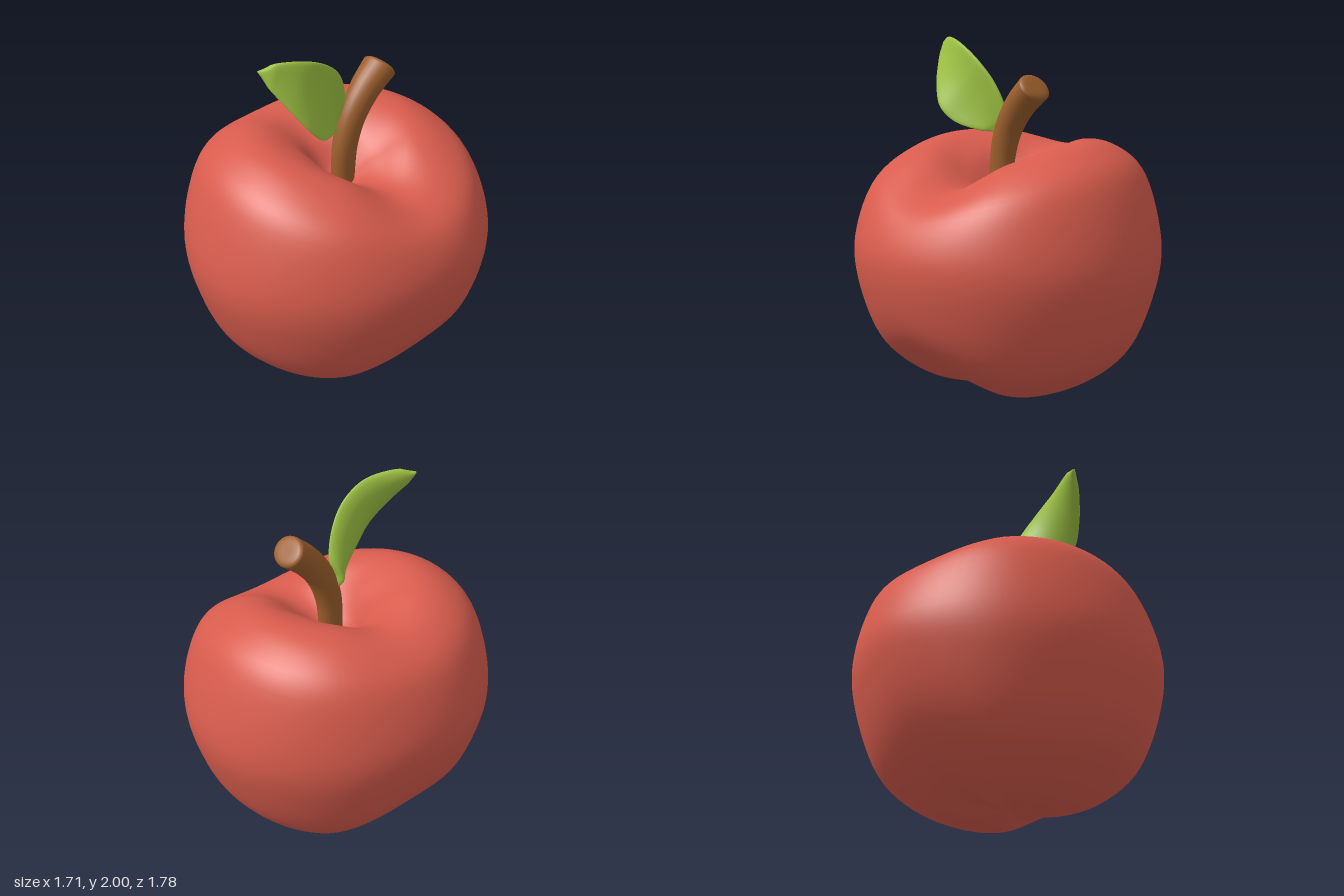
import * as THREE from 'three';
import { mergeVertices } from 'three/addons/utils/BufferGeometryUtils.js';

// Skin a surface point(u, v): u runs along 0..1, v is an angle that closes on itself
function loft(rows, cols, point) {
  const pos = [], idx = [];
  for (let i = 0; i <= rows; i++) {
    for (let j = 0; j < cols; j++) pos.push(...point(i / rows, (j / cols) * Math.PI * 2).toArray());
  }
  for (let i = 0; i < rows; i++) {
    for (let j = 0; j < cols; j++) {
      const k = (j + 1) % cols;
      const a = i * cols + j, b = i * cols + k, c = a + cols, d = b + cols;
      idx.push(a, b, c, b, d, c);
    }
  }
  let g = new THREE.BufferGeometry();
  g.setAttribute('position', new THREE.Float32BufferAttribute(pos, 3));
  g.setIndex(idx);
  g = mergeVertices(g, 1e-5);
  g.computeVertexNormals();
  return g;
}

const curve = (pts) => new THREE.CatmullRomCurve3(pts.map((p) => new THREE.Vector3(...p)));
const profile = (pts) => new THREE.SplineCurve(pts.map((p) => new THREE.Vector2(...p)));

// Fruit profiles (radius, height) from the top hollow to the base, every 45 degrees from +x to -x
const fruitProfiles = [
  [[0, 1.12], [0.1, 1.13], [0.25, 1.18], [0.42, 1.195], [0.6, 1.16], [0.76, 1.06], [0.85, 0.86], [0.82, 0.62], [0.72, 0.4], [0.5, 0.2], [0.25, 0.08], [0, 0.06]],
  [[0, 1.12], [0.09, 1.15], [0.23, 1.26], [0.42, 1.35], [0.62, 1.3], [0.78, 1.16], [0.87, 0.86], [0.83, 0.56], [0.7, 0.27], [0.47, 0.09], [0.22, 0.025], [0, 0.06]],
  [[0, 1.12], [0.09, 1.17], [0.22, 1.34], [0.42, 1.435], [0.6, 1.4], [0.77, 1.24], [0.89, 0.84], [0.84, 0.53], [0.71, 0.27], [0.47, 0.08], [0.22, 0.005], [0, 0.06]],
  [[0, 1.12], [0.09, 1.17], [0.22, 1.34], [0.42, 1.44], [0.62, 1.4], [0.78, 1.24], [0.87, 0.88], [0.83, 0.58], [0.7, 0.27], [0.47, 0.075], [0.22, 0.01], [0, 0.06]],
  [[0, 1.12], [0.08, 1.16], [0.2, 1.28], [0.38, 1.37], [0.56, 1.36], [0.74, 1.23], [0.855, 0.92], [0.82, 0.66], [0.71, 0.41], [0.5, 0.18], [0.25, 0.07], [0, 0.06]],
].map(profile);

// Smooth blend between neighbouring profiles, mirrored across z = 0
function fruitPoint(u, v) {
  const s = v / (Math.PI / 4), i = Math.floor(s), t = s - i;
  const at = (n) => {
    const m = ((n % 8) + 8) % 8;
    return fruitProfiles[m > 4 ? 8 - m : m].getPoint(u);
  };
  const blend = new THREE.SplineCurve([at(i - 1), at(i), at(i + 1), at(i + 2)]);
  const p = blend.getPoint((1 + t) / 3);
  return new THREE.Vector3(Math.max(0, p.x) * Math.cos(v), p.y, Math.max(0, p.x) * Math.sin(v));
}

// Curved stem, widening to a rounded flat end
const stemPath = curve([[0.045, 1.05, 0], [0.047, 1.2, -0.002], [0.05, 1.36, -0.015], [0.055, 1.52, -0.07], [0.062, 1.65, -0.165], [0.07, 1.75, -0.28]]);
function stemPoint(u, v) {
  const t = Math.min(1, u / 0.85);
  const cap = Math.max(0, (u - 0.85) / 0.15);
  const c = stemPath.getPoint(t), d = stemPath.getTangent(t);
  const n = new THREE.Vector3(0, d.z, -d.y).normalize();
  const round = cap < 0.6 ? 1 - 0.25 * (cap / 0.6) ** 2 : 0.75 * (1 - (cap - 0.6) / 0.4);
  const lift = 0.022 * Math.min(1, cap / 0.6);
  c.addScaledVector(d, lift - 0.012 * t);
  c.x += Math.cos(v) * (0.06 + 0.04 * t * t) * round;
  return c.addScaledVector(n, Math.sin(v) * (0.07 + 0.018 * t) * round);
}

// Cupped leaf spanned between its upper and lower margins, base to tip
const upper = curve([[0.02, 1.42, 0], [0.02, 1.5, 0.005], [0.035, 1.6, -0.02], [0.07, 1.75, 0.025], [0.1, 1.88, 0.13], [0.09, 1.97, 0.28], [0.02, 2, 0.45], [-0.035, 1.985, 0.55]]);
const lower = curve([[0.03, 1.42, 0.04], [0.03, 1.47, 0.06], [0.09, 1.485, 0.13], [0.155, 1.53, 0.27], [0.175, 1.61, 0.37], [0.13, 1.72, 0.445], [0.04, 1.86, 0.52], [-0.035, 1.96, 0.56]]);
function leafPoint(u, v) {
  const a = upper.getPoint(u), b = lower.getPoint(u);
  const end = Math.min(1, Math.sqrt(Math.max(0, Math.sin(Math.PI * u)) * 3));
  const mid = a.clone().add(b).multiplyScalar(0.5);
  const half = a.sub(b).multiplyScalar(0.5 * end);
  const p = mid.addScaledVector(half, Math.cos(v));
  p.x -= Math.sin(v) * 0.03 * end + Math.sin(v) ** 2 * 0.05 * Math.sin(Math.PI * u);
  return p;
}

export function createModel() {
  const red = new THREE.MeshStandardMaterial({ color: 0xd85c4d });
  red.name = 'red skin';
  const brown = new THREE.MeshStandardMaterial({ color: 0x9c5f2c });
  brown.name = 'brown wood';
  const green = new THREE.MeshStandardMaterial({ color: 0x9fc443 });
  green.name = 'green leaf';

  const group = new THREE.Group();
  group.name = 'apple';
  const add = (name, geometry, material) => {
    const mesh = new THREE.Mesh(geometry, material);
    mesh.name = name;
    group.add(mesh);
  };
  add('fruit', loft(66, 80, fruitPoint), red);
  add('stem', loft(40, 24, stemPoint), brown);
  add('leaf', loft(48, 24, leafPoint), green);
  return group;
}
